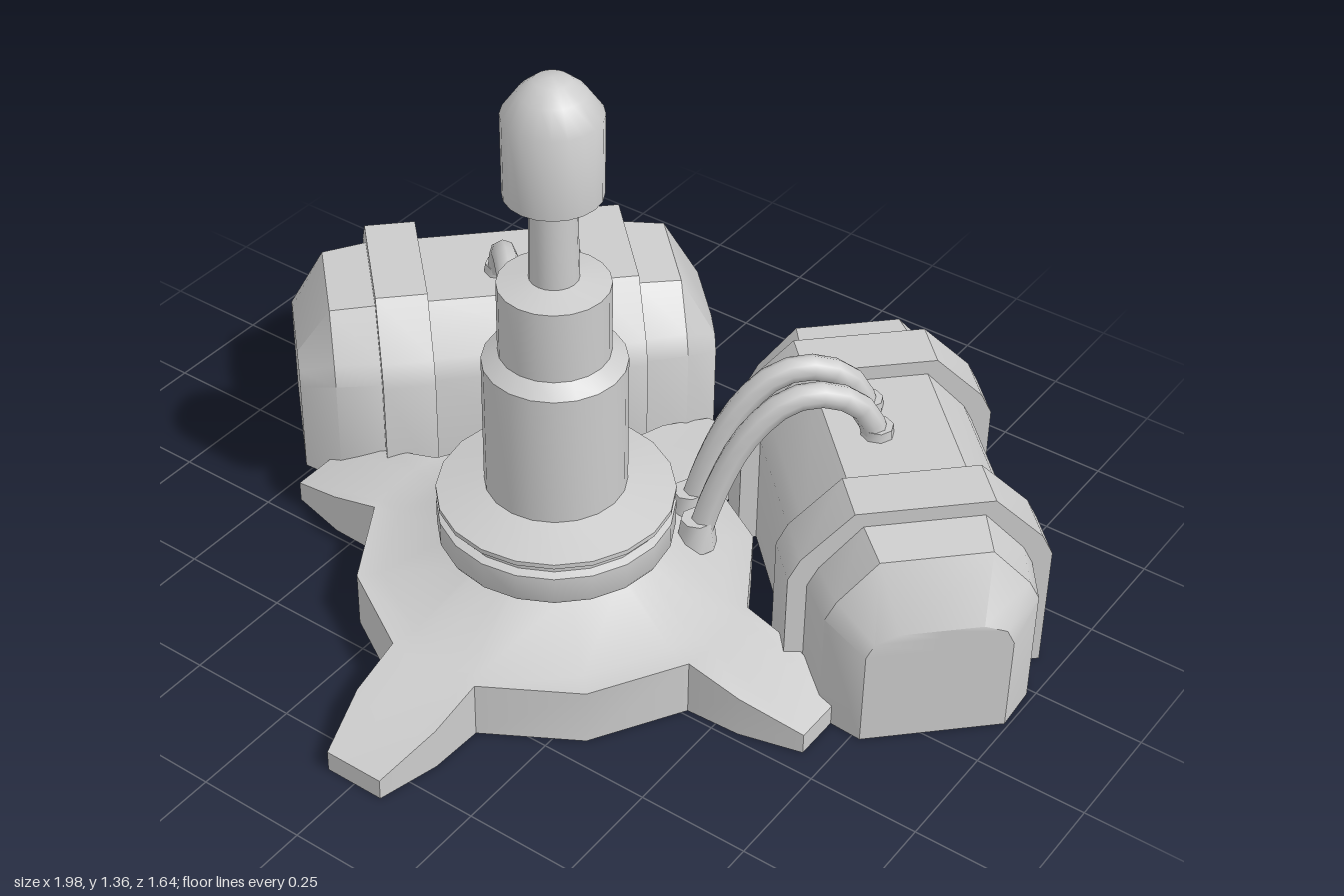
import * as THREE from 'three';
import { toCreasedNormals } from 'three/addons/utils/BufferGeometryUtils.js';

const CENTRE_Z = 0.127;
const material = new THREE.MeshStandardMaterial({ color: 0xcccccc, side: THREE.DoubleSide });

function addMesh(parent, name, geometry, crease = 0.6) {
  const mesh = new THREE.Mesh(toCreasedNormals(geometry, crease), material);
  mesh.name = name;
  parent.add(mesh);
  return mesh;
}

// Skin between successive cross-sections, each a list of [x, y, z]
function loft(rings) {
  const n = rings[0].length;
  const index = [];
  for (let i = 0; i < rings.length - 1; i++) {
    for (let j = 0; j < n - 1; j++) {
      const a = i * n + j, b = a + 1, c = a + n, d = c + 1;
      index.push(a, c, b, b, c, d);
    }
  }
  const geometry = new THREE.BufferGeometry();
  geometry.setAttribute('position', new THREE.Float32BufferAttribute(rings.flat(2), 3));
  geometry.setIndex(index);
  return geometry;
}

function lathe(points, sides) {
  return new THREE.LatheGeometry(points.map(([r, y]) => new THREE.Vector2(r, y)), sides);
}

// Four-legged foot: a twelve-sided hub with tapering legs, open underneath
function footGeometry() {
  const quarter = [
    [0.43, -0.11, 0.135], [0.555, -0.105, 0.1], [0.695, -0.07, 0.05],
    [0.695, 0.07, 0.05], [0.555, 0.105, 0.1], [0.43, 0.11, 0.135], [0.311, 0.311, 0.135],
  ];
  const outline = [];
  for (let k = 0; k < 4; k++) {
    const c = Math.round(Math.cos(k * Math.PI / 2)), s = Math.round(Math.sin(k * Math.PI / 2));
    for (const [x, z, y] of quarter) outline.push([x * c - z * s, y, x * s + z * c]);
  }
  outline.push(outline[0]);
  const circle = (r, y) => outline.map(([x, , z]) => {
    const k = r / Math.hypot(x, z);
    return [x * k, y, z * k];
  });
  // The hub deck keeps the legs' tops joined to the ring at r = 0.44
  const deck = outline.map(([x, y, z]) => {
    const k = Math.min(1, 0.444 / Math.hypot(x, z));
    return [x * k, 0.135, z * k];
  });
  return loft([outline.map(([x, , z]) => [x, 0, z]), outline, deck, circle(0.385, 0.137), circle(0.22, 0.226)]);
}

// Tank shell with two raised bands and chamfered ends, open underneath
function tankGeometry() {
  const band = [[0.285, 0], [0.285, 0.3], [0.26, 0.35], [0.15, 0.46]];
  const body = [[0.243, 0], [0.243, 0.28], [0.22, 0.325], [0.13, 0.425]];
  const shoulder = [[0.228, 0], [0.228, 0.275], [0.205, 0.32], [0.12, 0.415]];
  const end = [[0.157, 0], [0.157, 0.23], [0.14, 0.265], [0.09, 0.285]];
  const seam = end.map(([, y]) => [0, y]);
  const half = [[0.49, seam], [0.49, end], [0.41, shoulder], [0.305, body], [0.305, band], [0.185, band], [0.185, body]];
  const section = (s, p) => [
    ...p.map(([w, y]) => [s, y, w]),
    ...[...p].reverse().map(([w, y]) => [s, y, -w]),
  ];
  return loft([
    ...half.map(([s, p]) => section(-s, p)),
    ...[...half].reverse().map(([s, p]) => section(s, p)),
  ]);
}

export function createModel() {
  const model = new THREE.Group();
  model.name = 'deviceWithTanks';

  // Central tower
  const tower = new THREE.Group();
  tower.name = 'tower';
  tower.position.z = CENTRE_Z;
  model.add(tower);
  addMesh(tower, 'foot', footGeometry());
  addMesh(tower, 'collar', lathe([
    [0, 0.222], [0.255, 0.226], [0.26, 0.235], [0.26, 0.295], [0.243, 0.302],
    [0.243, 0.318], [0.26, 0.324], [0.26, 0.335], [0.155, 0.362],
  ], 20));
  addMesh(tower, 'column', lathe([
    [0.155, 0.355], [0.155, 0.68], [0.12, 0.705], [0.12, 0.873], [0.053, 0.888], [0.05, 1.075],
  ], 20));
  addMesh(tower, 'bulb', lathe([
    [0.04, 1.063], [0.104, 1.09], [0.105, 1.275], [0.07, 1.325], [0.038, 1.352], [0, 1.357],
  ], 20), 0.75);

  // Tanks and their paired hoses, turned 45 degrees to each side
  const hosePath = [[0.215, 0.17], [0.255, 0.31], [0.32, 0.45], [0.41, 0.535], [0.5, 0.54], [0.575, 0.49], [0.605, 0.41]];
  for (const side of [1, -1]) {
    const unit = new THREE.Group();
    unit.name = side > 0 ? 'leftTankUnit' : 'rightTankUnit';
    unit.rotation.y = -side * Math.PI / 4;
    model.add(unit);

    const tank = addMesh(unit, 'tank', tankGeometry());
    tank.position.set(side * 0.12, 0, -0.635);

    for (const u of [0.026, 0.124]) {
      const x = side * u;
      const curve = new THREE.CatmullRomCurve3(hosePath.map(([v, y]) => new THREE.Vector3(x, y, -v)));
      addMesh(unit, 'hose', new THREE.TubeGeometry(curve, 14, 0.029, 8), 1);
      const lower = addMesh(unit, 'hoseFitting', new THREE.CylinderGeometry(0.036, 0.046, 0.07, 8), 1);
      lower.position.set(x, 0.2, -0.215);
      const upper = addMesh(unit, 'hoseFitting', new THREE.CylinderGeometry(0.035, 0.038, 0.03, 8), 1);
      upper.position.set(x, 0.432, -0.605);
    }
  }
  return model;
}
